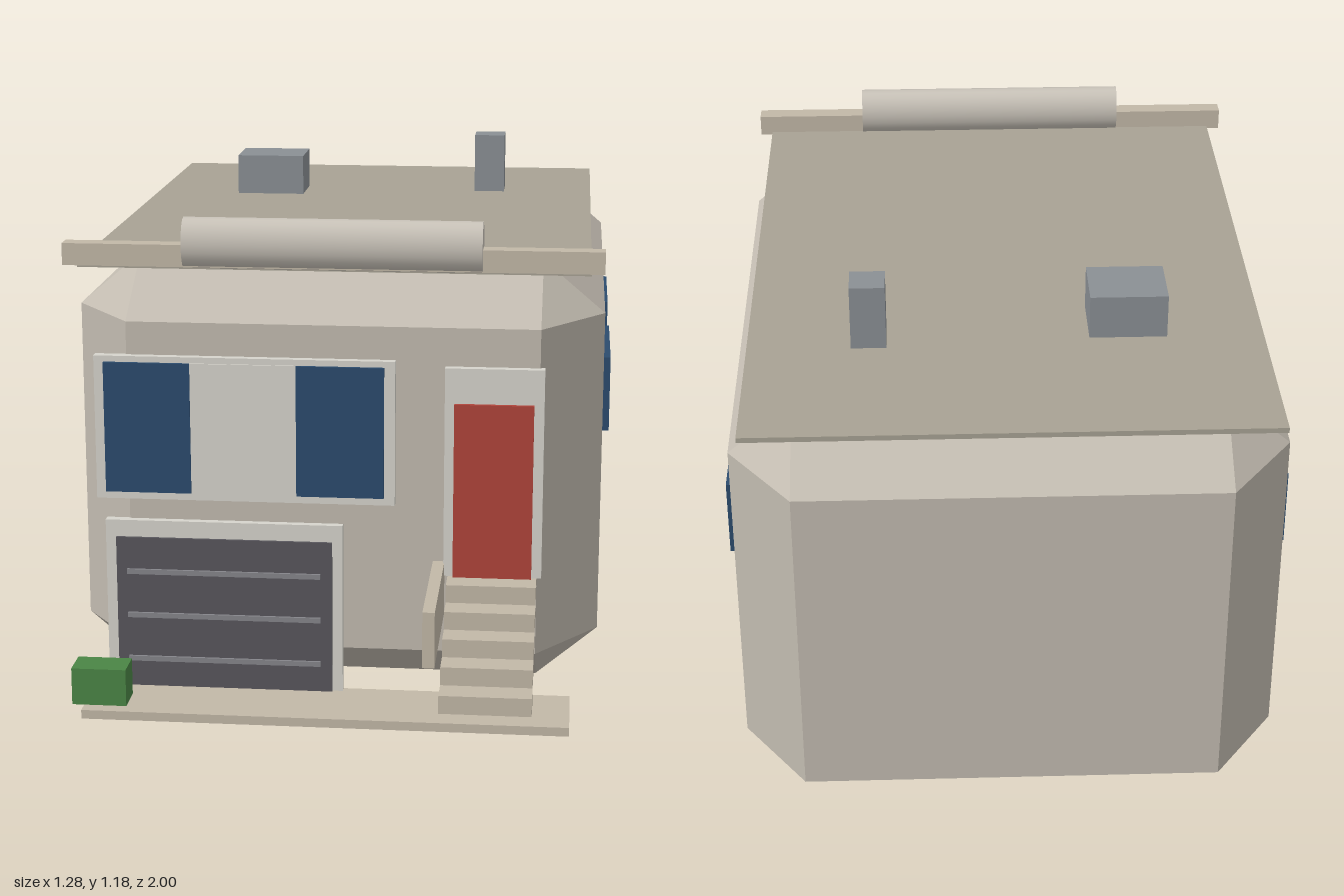
import * as THREE from 'three';
import { ConvexGeometry } from 'three/addons/geometries/ConvexGeometry.js';

const material = (color) => new THREE.MeshStandardMaterial({ color, flatShading: true });
const mats = {
  wall: material(0xc2bbb0),
  roof: material(0xa8a294),
  beige: material(0xc2b8a7),
  trim: material(0xd6d4cc),
  vent: material(0x8a8f94),
  glass: material(0x2b4b6d),
  red: material(0xb0443a),
  dark: material(0x58565c),
  slat: material(0x85858a),
  green: material(0x4a8545),
};

export function createModel() {
  const model = new THREE.Group();

  const add = (name, geometry, mat) => {
    const mesh = new THREE.Mesh(geometry, mat);
    mesh.name = name;
    model.add(mesh);
    return mesh;
  };
  // Box given by its limits on each axis
  const box = (name, mat, x0, x1, y0, y1, z0, z1) => {
    const mesh = add(name, new THREE.BoxGeometry(x1 - x0, y1 - y0, z1 - z0), mat);
    mesh.position.set((x0 + x1) / 2, (y0 + y1) / 2, (z0 + z1) / 2);
    return mesh;
  };

  // Body: a box with every edge and corner chamfered
  const half = new THREE.Vector3(0.62, 0.51, 0.82);
  const inner = new THREE.Vector3(0.475, 0.387, 0.623);
  const corners = [];
  for (const sx of [-1, 1]) for (const sy of [-1, 1]) for (const sz of [-1, 1]) {
    for (const axis of ['x', 'y', 'z']) {
      const p = inner.clone();
      p[axis] = half[axis];
      corners.push(p.multiply(new THREE.Vector3(sx, sy, sz)));
    }
  }
  add('body', new ConvexGeometry(corners), mats.wall).position.set(0, 0.51, -0.18);

  // Roof, vents and rolled awning
  box('roof', mats.roof, -0.588, 0.585, 1.018, 1.03, -0.955, 0.62);
  box('roofVent', mats.vent, -0.367, -0.19, 1.03, 1.133, -0.555, -0.408);
  box('chimney', mats.vent, 0.27, 0.35, 1.03, 1.183, -0.585, -0.505);
  box('awningBar', mats.beige, -0.62, 0.615, 1.024, 1.075, 0.588, 0.632);
  const rollMaterial = mats.trim.clone();
  rollMaterial.color.set(0xc8c2b8);
  rollMaterial.flatShading = false;
  const roll = add('awningRoll',
    new THREE.CylinderGeometry(0.5, 0.5, 0.682, 20).rotateZ(Math.PI / 2), rollMaterial);
  roll.scale.set(1, 0.118, 0.088);
  roll.position.set(0, 1.078, 0.611);

  // Side windows
  for (const side of [-1, 1]) {
    for (const z of [0.117, -0.54]) {
      const name = side > 0 ? 'leftWindow' : 'rightWindow';
      const pane = box(name, mats.glass, -0.015, 0.015, 0.575, 0.757, z - 0.179, z + 0.179);
      pane.position.x = side * 0.623;
    }
  }

  // Front window
  box('frontWindowFrame', mats.trim, -0.548, 0.147, 0.48, 0.82, 0.636, 0.659);
  box('frontWindowLeftPane', mats.glass, -0.08, 0.122, 0.498, 0.806, 0.65, 0.667);
  box('frontWindowRightPane', mats.glass, -0.525, -0.325, 0.498, 0.806, 0.65, 0.667);
  box('frontWindowCentre', mats.trim, -0.325, -0.08, 0.498, 0.806, 0.65, 0.663);

  // Garage door
  box('garageFrame', mats.trim, -0.53, 0.026, 0.02, 0.427, 0.636, 0.658);
  box('garageDoor', mats.dark, -0.505, 0.002, 0.02, 0.387, 0.65, 0.665);
  for (const y of [0.09, 0.198, 0.305]) {
    box('garageSlat', mats.slat, -0.48, -0.025, y - 0.006, y + 0.006, 0.66, 0.671);
  }

  // Entrance door
  box('doorFrame', mats.trim, 0.26, 0.486, 0.315, 0.808, 0.636, 0.66);
  box('door', mats.red, 0.282, 0.463, 0.315, 0.726, 0.65, 0.67);

  // Steps and side panel
  for (let i = 0; i < 5; i++) {
    const y = 0.104 + i * 0.042;
    const z = 0.98 - i * 0.064;
    box('step', mats.beige, 0.27, 0.475, y, y + 0.042, z - 0.08, z);
  }
  box('stepRail', mats.beige, 0.235, 0.262, 0.217, 0.345, 0.645, 1.0);

  // Porch slab and planter
  box('porch', mats.beige, -0.562, 0.558, 0, 0.021, 0.64, 0.833);
  box('planter', mats.green, -0.59, -0.463, 0.021, 0.109, 0.722, 0.8);

  return model;
}
